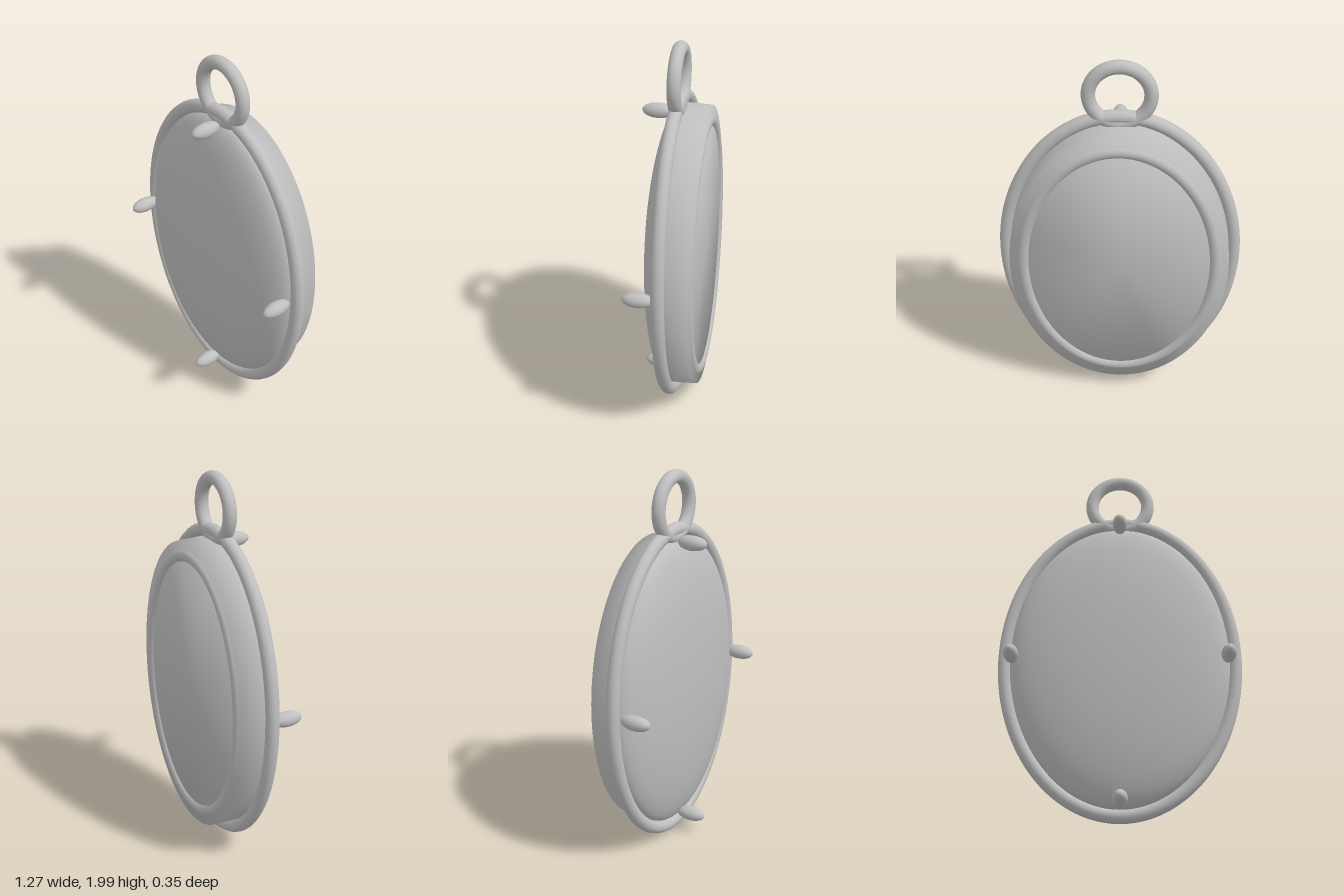
import * as THREE from 'three';

const CY = 0.868;    // height of the oval's middle
const RIM_Z = -0.015;

export function createModel() {
  const pendant = new THREE.Group();
  pendant.name = 'pendant';
  const metal = new THREE.MeshStandardMaterial({ color: 0xbfbfbf });
  metal.name = 'plain grey';

  const add = (name, geometry, x, y, z) => {
    const mesh = new THREE.Mesh(geometry, metal);
    mesh.name = name;
    mesh.position.set(x, y, z);
    pendant.add(mesh);
    return mesh;
  };

  // Round wire bent into an oval, with an even thickness all the way round
  const ovalWire = (a, b, radius) => {
    const points = [];
    for (let i = 0; i < 64; i++) {
      const t = (i / 64) * Math.PI * 2;
      points.push(new THREE.Vector3(a * Math.cos(t), b * Math.sin(t), 0));
    }
    const path = new THREE.CatmullRomCurve3(points, true);
    return new THREE.TubeGeometry(path, 128, radius, 16, true);
  };

  // Front rim, back ring and hanging loop
  add('rim', ovalWire(0.6, 0.826, 0.035), 0, CY, RIM_Z);
  add('backRing', ovalWire(0.5, 0.705, 0.035), 0, CY, -0.14);
  add('hangingLoop', new THREE.TorusGeometry(0.153, 0.035, 20, 72), 0, 1.812, RIM_Z);

  // Domed oval stone: the front half of a flattened ball
  const stone = new THREE.SphereGeometry(1, 96, 24, 0, Math.PI * 2, 0, Math.PI / 2);
  stone.rotateX(Math.PI / 2);
  stone.scale(0.575, 0.79, 0.147);
  add('stone', stone, 0, CY, RIM_Z);

  // Slightly tapered cup behind the stone, closed at the back
  const profile = [[1, 0.015], [0.992, 0.16], [0, 0.16]];
  const cup = new THREE.LatheGeometry(profile.map(([r, d]) => new THREE.Vector2(r, d)), 96);
  cup.rotateX(-Math.PI / 2);
  cup.scale(0.575, 0.79, 1);
  // Soft normals that roll from the wall over the edge to the middle of the back
  const pos = cup.attributes.position;
  const n = new THREE.Vector3();
  for (let i = 0; i < pos.count; i++) {
    const row = i % profile.length;
    if (row === 2) n.set(0, 0, -1);
    else {
      n.set(pos.getX(i) / 0.575 ** 2, pos.getY(i) / 0.79 ** 2, 0).normalize();
      if (row === 1) n.z = -1;
      n.normalize();
    }
    cup.attributes.normal.setXYZ(i, n.x, n.y, n.z);
  }
  add('cup', cup, 0, CY, 0);

  // Four egg-shaped prongs around the stone
  const prong = new THREE.SphereGeometry(1, 24, 16);
  prong.rotateX(Math.PI / 2);
  prong.scale(0.039, 0.039, 0.082);
  const spots = { left: [0.56, 0], right: [-0.56, 0], top: [0, 0.767], bottom: [0, -0.767] };
  for (const [side, [x, y]] of Object.entries(spots)) {
    add(`${side}Prong`, prong, x, 0.872 + y, 0.09);
  }

  return pendant;
}
